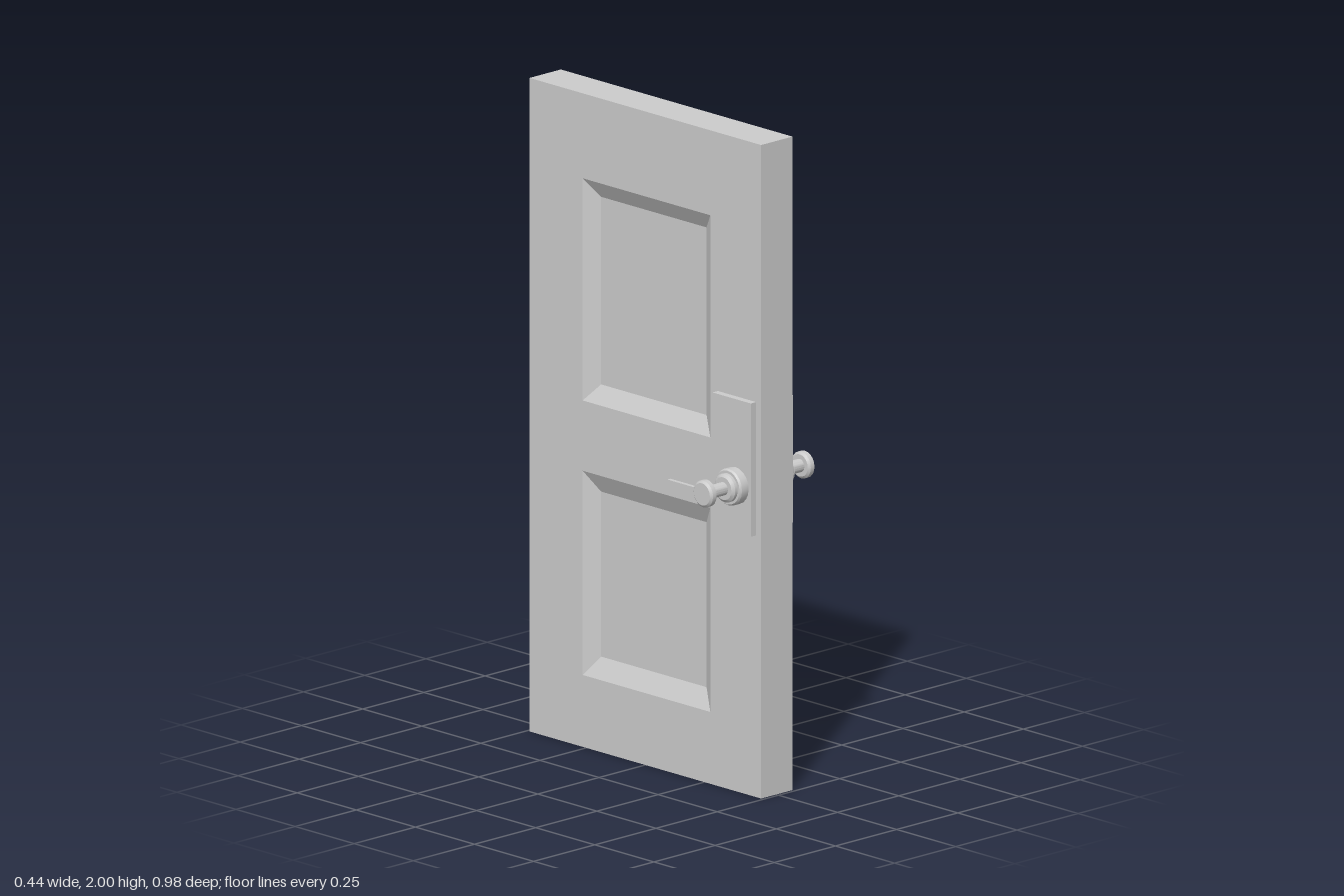
import * as THREE from 'three';
import { toCreasedNormals } from 'three/addons/utils/BufferGeometryUtils.js';

const material = new THREE.MeshStandardMaterial({ color: 0xcccccc });
const HALF_WIDTH = 0.49, HEIGHT = 2, HALF_THICK = 0.064, CENTRE_X = 0.003;
const RECESS = 0.03, BEVEL_W = 0.047;
const PANELS = [
  { y0: 0.22, y1: 0.845, bevel: 0.06 },
  { y0: 1.06, y1: 1.74, bevel: 0.053 },
];

function addMesh(parent, name, geometry, x = 0, y = 0, z = 0) {
  const mesh = new THREE.Mesh(geometry, material);
  mesh.name = name;
  mesh.position.set(x, y, z);
  parent.add(mesh);
  return mesh;
}

// Counter-clockwise rectangle corners
const rect = (u0, u1, y0, y1) => [[u0, y0], [u1, y0], [u1, y1], [u0, y1]];
const toPath = (Type, corners) => new Type(corners.map(([u, y]) => new THREE.Vector2(u, y)));

// Flat quads from lists of four counter-clockwise corners
function quads(list) {
  const pos = list.flatMap(([a, b, c, d]) => [a, b, c, a, c, d].flat());
  const geometry = new THREE.BufferGeometry();
  geometry.setAttribute('position', new THREE.Float32BufferAttribute(pos, 3));
  geometry.computeVertexNormals();
  return geometry;
}

// Sloped border and sunken floor of one panel
function recessGeometry(outer, inner) {
  const top = outer.map(([u, y]) => [u, y, 0]);
  const floor = inner.map(([u, y]) => [u, y, -RECESS]);
  const slopes = top.map((p, i) => {
    const j = (i + 1) % 4;
    return [p, top[j], floor[j], floor[i]];
  });
  return quads([...slopes, floor]);
}

// Handle turned on the lathe, its axis pointing out of the door
function handleGeometry(length, r) {
  const profile = [
    [r, 0], [r, 0.027], [r * 0.92, 0.033], [r * 0.78, 0.033], [r * 0.78, 0.043],
    [r * 0.62, 0.05], [0.02, 0.05], [0.02, length - 0.027], [0.034, length - 0.027],
    [0.041, length - 0.021], [0.041, length - 0.006], [0.034, length], [0, length],
  ].map(([x, y]) => new THREE.Vector2(x, y));
  return toCreasedNormals(new THREE.LatheGeometry(profile, 20).rotateX(Math.PI / 2), 0.6);
}

// One face of the door; local z points outward, local x runs along the door
function buildSide(s, cfg) {
  const side = new THREE.Group();
  side.name = s > 0 ? 'leftSide' : 'rightSide';
  side.rotation.y = s * Math.PI / 2;
  side.position.x = CENTRE_X + s * HALF_THICK;

  const shape = toPath(THREE.Shape, rect(-HALF_WIDTH, HALF_WIDTH, 0, HEIGHT));
  const mid = -s * 0.005, half = 0.27;
  for (const { y0, y1, bevel } of PANELS) {
    const outer = rect(mid - half, mid + half, y0, y1);
    const inner = rect(mid - half + BEVEL_W, mid + half - BEVEL_W, y0 + bevel, y1 - bevel);
    shape.holes.push(toPath(THREE.Path, outer));
    addMesh(side, 'recessedPanel', recessGeometry(outer, inner));
  }
  addMesh(side, 'doorFace', new THREE.ShapeGeometry(shape));

  // Back plate, turned handle and lever
  const { plateZ, plateW, plateH, plateY, z, y, r, length } = cfg;
  const plateT = 0.022;
  addMesh(side, 'handlePlate', new THREE.BoxGeometry(plateW, plateH, plateT),
    -s * plateZ, plateY, plateT / 2);
  addMesh(side, 'handleKnob', handleGeometry(length, r), -s * z, y, plateT);
  const leverLength = 0.13;
  addMesh(side, 'handleLever', new THREE.BoxGeometry(leverLength, 0.025, 0.013),
    -s * (z - 0.152 + leverLength / 2), y, plateT + length - 0.012);
  return side;
}

export function createModel() {
  const door = new THREE.Group();
  door.name = 'door';

  // Narrow edges around the slab
  const x0 = CENTRE_X - HALF_THICK, x1 = CENTRE_X + HALF_THICK, w = HALF_WIDTH, h = HEIGHT;
  addMesh(door, 'doorEdges', quads([
    [[x0, 0, w], [x1, 0, w], [x1, h, w], [x0, h, w]],
    [[x1, 0, -w], [x0, 0, -w], [x0, h, -w], [x1, h, -w]],
    [[x0, h, w], [x1, h, w], [x1, h, -w], [x0, h, -w]],
    [[x0, 0, -w], [x1, 0, -w], [x1, 0, w], [x0, 0, w]],
  ]));

  door.add(buildSide(1, {
    plateZ: 0.392, plateW: 0.156, plateH: 0.39, plateY: 1.005,
    z: 0.392, y: 0.948, r: 0.053, length: 0.129,
  }));
  door.add(buildSide(-1, {
    plateZ: 0.388, plateW: 0.162, plateH: 0.408, plateY: 1.005,
    z: 0.404, y: 0.945, r: 0.056, length: 0.137,
  }));
  return door;
}
